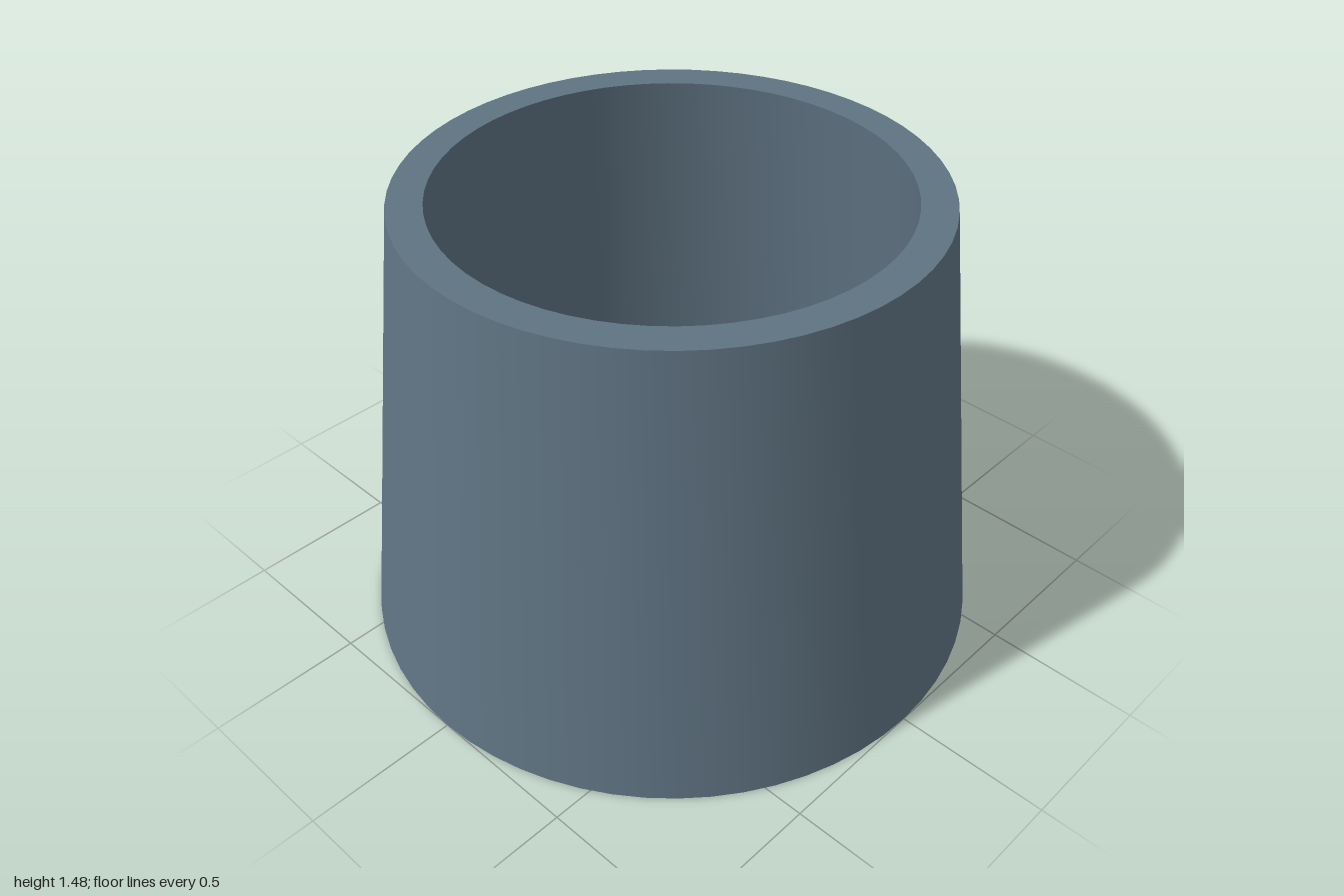
import * as THREE from 'three';
import { toCreasedNormals } from 'three/addons/utils/BufferGeometryUtils.js';

export function createModel() {
  const group = new THREE.Group();
  group.name = 'taperedSleeve';

  const height = 1.48;
  const bottom = { outer: 1.0, inner: 0.893 };
  const top = { outer: 0.823, inner: 0.715 };

  // Closed wall section: outer wall up, rim in, bore down, base out
  const section = [
    [bottom.outer, 0],
    [top.outer, height],
    [top.inner, height],
    [bottom.inner, 0],
    [bottom.outer, 0],
  ].map(([r, y]) => new THREE.Vector2(r, y));

  // Smooth round the walls, sharp at the rims
  const geometry = toCreasedNormals(new THREE.LatheGeometry(section, 64), Math.PI / 6);
  const sleeve = new THREE.Mesh(geometry, new THREE.MeshStandardMaterial({ color: 0x5f7382 }));
  sleeve.name = 'sleeveWall';
  group.add(sleeve);

  return group;
}
